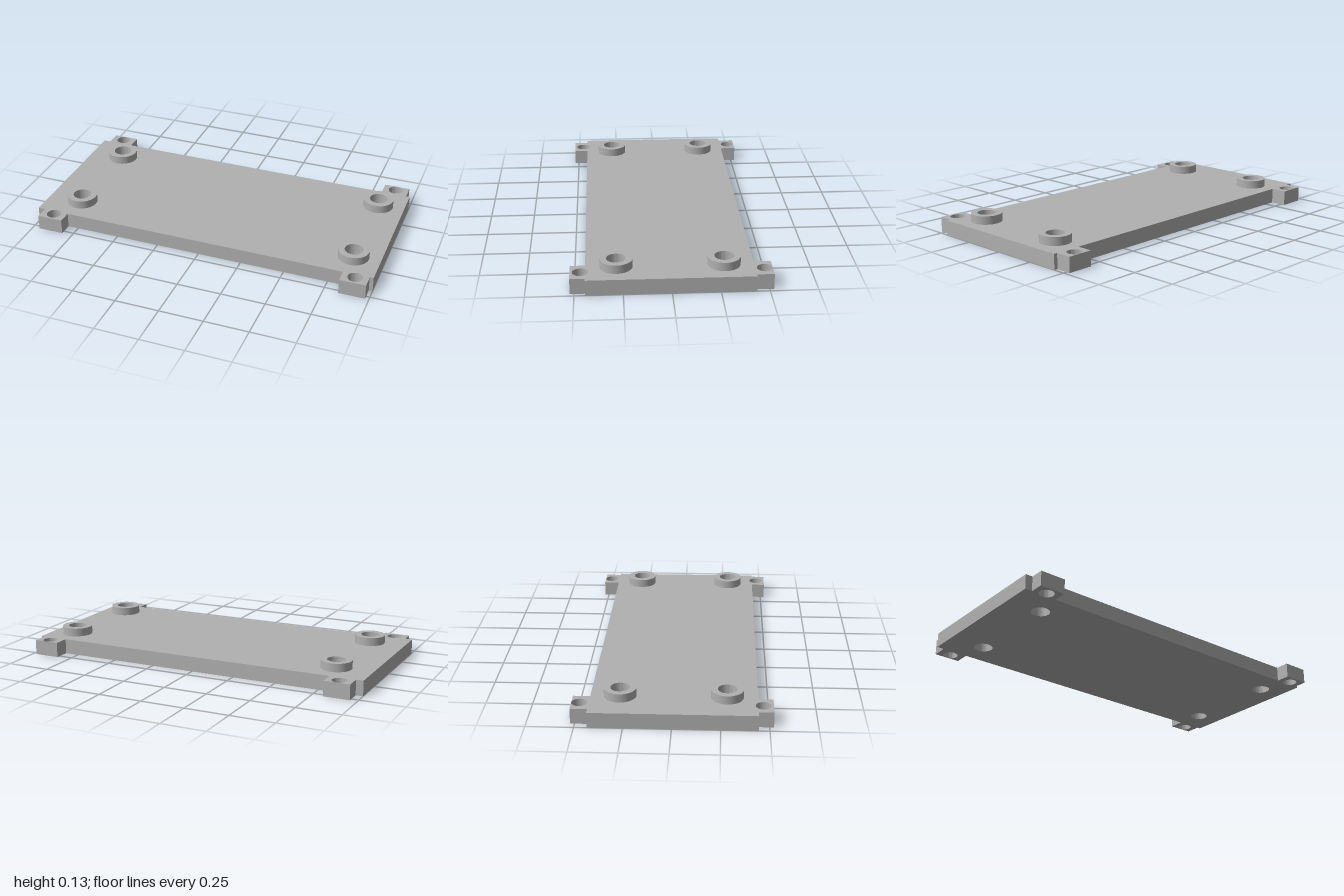
import * as THREE from 'three';
import { toCreasedNormals } from 'three/addons/utils/BufferGeometryUtils.js';

const PLATE_H = 0.085, BOSS_H = 0.047;
const BOSS_R = 0.086, BOSS_HOLE = 0.051, TAB_HOLE = 0.041;

// Plan shapes use (x, -z), so that extruding and tipping back gives y up.
const circle = (path, x, z, r) => path.absarc(x, -z, r, 0, Math.PI * 2, false);

function extrudeUp(shape, height) {
  const geo = new THREE.ExtrudeGeometry(shape, { depth: height, bevelEnabled: false, curveSegments: 24 });
  geo.rotateX(-Math.PI / 2);
  return toCreasedNormals(geo, 0.6);
}

export function createModel() {
  const group = new THREE.Group();
  const grey = new THREE.MeshStandardMaterial({ color: 0xb0b0b0 });
  grey.name = 'plain grey';

  const front = 0.443, back = -0.433;
  const tabFront = 0.522, tabBack = -0.523;
  const tabsX = [[-0.959, -0.812], [0.832, 0.979]];
  const bossesX = [-0.794, 0.848], bossesZ = [-0.277, 0.283];

  // Plate outline with a screw tab near each corner
  const [[l0, l1], [r0, r1]] = tabsX;
  const outline = [
    [-1, front], [l0, front], [l0, tabFront], [l1, tabFront], [l1, front],
    [r0, front], [r0, tabFront], [r1, tabFront], [r1, front], [1, front],
    [1, back], [r1, back], [r1, tabBack], [r0, tabBack], [r0, back],
    [l1, back], [l1, tabBack], [l0, tabBack], [l0, back], [-1, back],
  ];
  const plateShape = new THREE.Shape(outline.map(([x, z]) => new THREE.Vector2(x, -z)));

  // Through holes in tabs and under bosses
  const drill = (x, z, r) => plateShape.holes.push(circle(new THREE.Path(), x, z, r));
  for (const [a, b] of tabsX) for (const z of [-0.482, 0.469]) drill((a + b) / 2, z, TAB_HOLE);
  for (const x of bossesX) for (const z of bossesZ) drill(x, z, BOSS_HOLE);

  const plate = new THREE.Mesh(extrudeUp(plateShape, PLATE_H), grey);
  plate.name = 'basePlate';
  group.add(plate);

  // Raised ring bosses
  const ring = circle(new THREE.Shape(), 0, 0, BOSS_R);
  ring.holes.push(circle(new THREE.Path(), 0, 0, BOSS_HOLE));
  const ringGeo = extrudeUp(ring, BOSS_H);
  for (const x of bossesX) for (const z of bossesZ) {
    const boss = new THREE.Mesh(ringGeo, grey);
    boss.name = `${z > 0 ? 'front' : 'back'}${x > 0 ? 'Left' : 'Right'}Boss`;
    boss.position.set(x, PLATE_H, z);
    group.add(boss);
  }
  return group;
}
